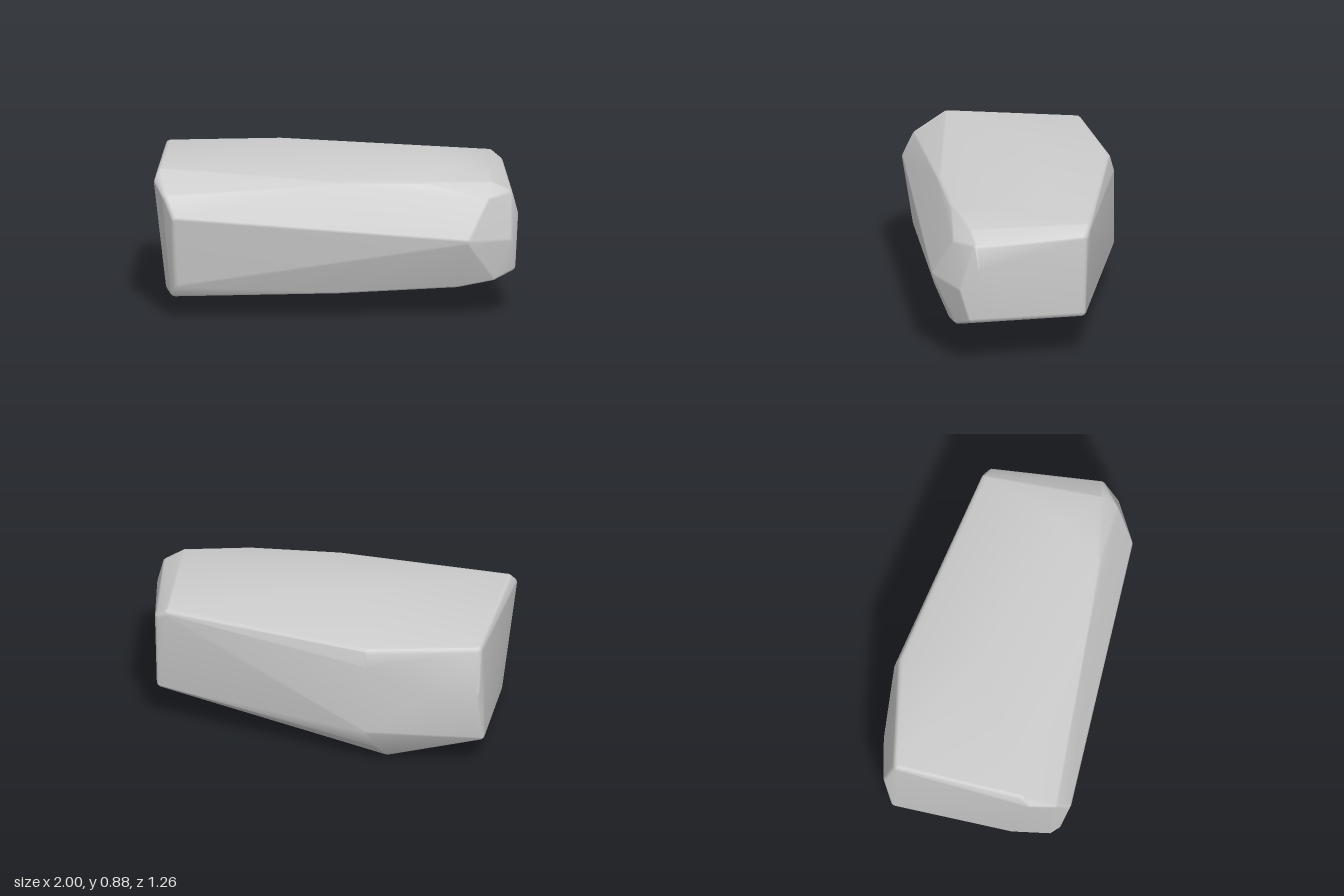
import * as THREE from 'three';
import { ConvexGeometry } from 'three/addons/geometries/ConvexGeometry.js';
import { mergeVertices } from 'three/addons/utils/BufferGeometryUtils.js';

// Corners of the boulder, grouped by region
const corners = [
  // top ridge
  [-0.19, 0.875, -0.15], [0.65, 0.818, -0.05], [0.67, 0.812, 0.28],
  // upper back edge
  [0.93, 0.76, -0.21], [-0.22, 0.758, -0.585], [-0.22, 0.68, -0.605], [-0.85, 0.775, -0.555],
  // upper front edge
  [-0.98, 0.818, 0.18], [-1, 0.775, 0.22], [-0.97, 0.71, 0.36],
  [0, 0.775, 0.44], [0.5, 0.77, 0.475], [0.87, 0.755, 0.46], [0.84, 0.69, 0.54],
  // front ridge
  [-0.93, 0.6, 0.43], [0.72, 0.47, 0.63],
  // lower front edge
  [-0.91, 0.19, 0.37], [0, 0.155, 0.455], [0.67, 0.19, 0.52], [0.87, 0.23, 0.535],
  // right end
  [0.98, 0.72, -0.18], [0.97, 0.26, -0.17], [0.97, 0.7, 0.45],
  [1, 0.58, 0.44], [0.98, 0.27, 0.48], [0.96, 0.45, 0.53],
  // back bulge and lower back edge
  [-0.6, 0.52, -0.63], [-0.84, 0.52, -0.61],
  [-0.22, 0.24, -0.605], [-0.27, 0.12, -0.55], [-0.86, 0.2, -0.565],
  // left end and underside
  [-0.92, 0.13, 0.33], [-0.92, 0.105, 0.12],
  [-0.34, 0, -0.42], [-0.33, 0.02, -0.47], [0.67, 0.165, -0.1],
];

// Rounded hull: a small ball at every inset corner, wrapped together
function roundedHull(points, radius) {
  const half = new THREE.Vector3(1, 0.4375, 0.63);
  const ball = new THREE.IcosahedronGeometry(radius, 1).getAttribute('position');
  const cloud = [];
  for (const [x, y, z] of points) {
    const centre = new THREE.Vector3(
      x * (1 - radius / half.x),
      half.y + (y - half.y) * (1 - radius / half.y),
      z * (1 - radius / half.z),
    );
    for (let i = 0; i < ball.count; i++) {
      cloud.push(new THREE.Vector3().fromBufferAttribute(ball, i).add(centre));
    }
  }
  let geometry = new ConvexGeometry(cloud);
  geometry.deleteAttribute('normal');
  // shared vertices give area-weighted normals: flat facets, soft edges
  geometry = mergeVertices(geometry, 1e-4);
  geometry.computeVertexNormals();
  return geometry;
}

export function createModel() {
  const stone = new THREE.MeshStandardMaterial({ color: 0xcccccc });
  stone.name = 'pale grey stone';

  const boulder = new THREE.Mesh(roundedHull(corners, 0.03), stone);
  boulder.name = 'boulder';
  const group = new THREE.Group();
  group.name = 'rock';
  group.add(boulder);
  return group;
}
